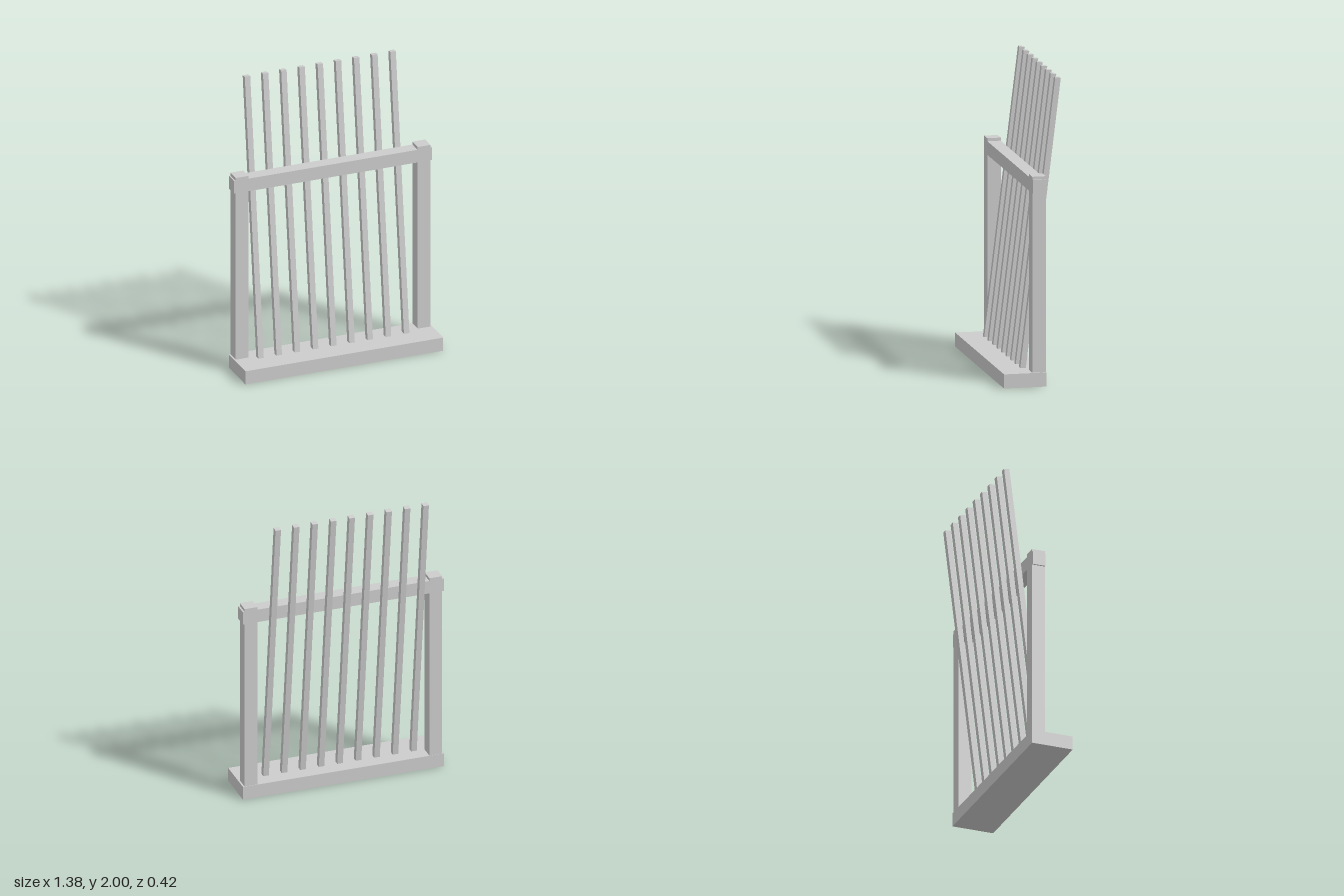
import * as THREE from 'three';

export function createModel() {
  const group = new THREE.Group();
  const grey = new THREE.MeshStandardMaterial({ color: 0xcccccc });
  grey.name = 'light grey';

  // Box given by its minimum and maximum corners
  function addBox(name, [x0, y0, z0], [x1, y1, z1]) {
    const mesh = new THREE.Mesh(new THREE.BoxGeometry(x1 - x0, y1 - y0, z1 - z0), grey);
    mesh.position.set((x0 + x1) / 2, (y0 + y1) / 2, (z0 + z1) / 2);
    mesh.name = name;
    group.add(mesh);
  }

  // Base plank, deeper towards the front
  addBox('base', [-0.69, 0, -0.074], [0.69, 0.093, 0.209]);

  // Upright posts
  addBox('rightPost', [-0.68, 0.09, -0.071], [-0.592, 1.386, 0.019]);
  addBox('leftPost', [0.59, 0.09, -0.071], [0.678, 1.386, 0.019]);

  // Top rail, its ends poking just past the posts
  addBox('topRail', [-0.691, 1.276, -0.07], [0.69, 1.366, 0.018]);

  // Backward-leaning bars, their feet sunk in the base
  const lean = Math.atan(0.122);
  const length = 1.96;
  const thick = 0.037;
  const barGeometry = new THREE.BoxGeometry(0.038, length, thick);
  barGeometry.translate(0, -length / 2, -thick / 2); // pivot at the top front edge
  for (let i = 0; i < 9; i++) {
    const bar = new THREE.Mesh(barGeometry, grey);
    bar.position.set(-0.52 + i * 0.127, 2, -0.172);
    bar.rotation.x = -lean;
    bar.name = 'bar' + (i + 1);
    group.add(bar);
  }

  return group;
}
